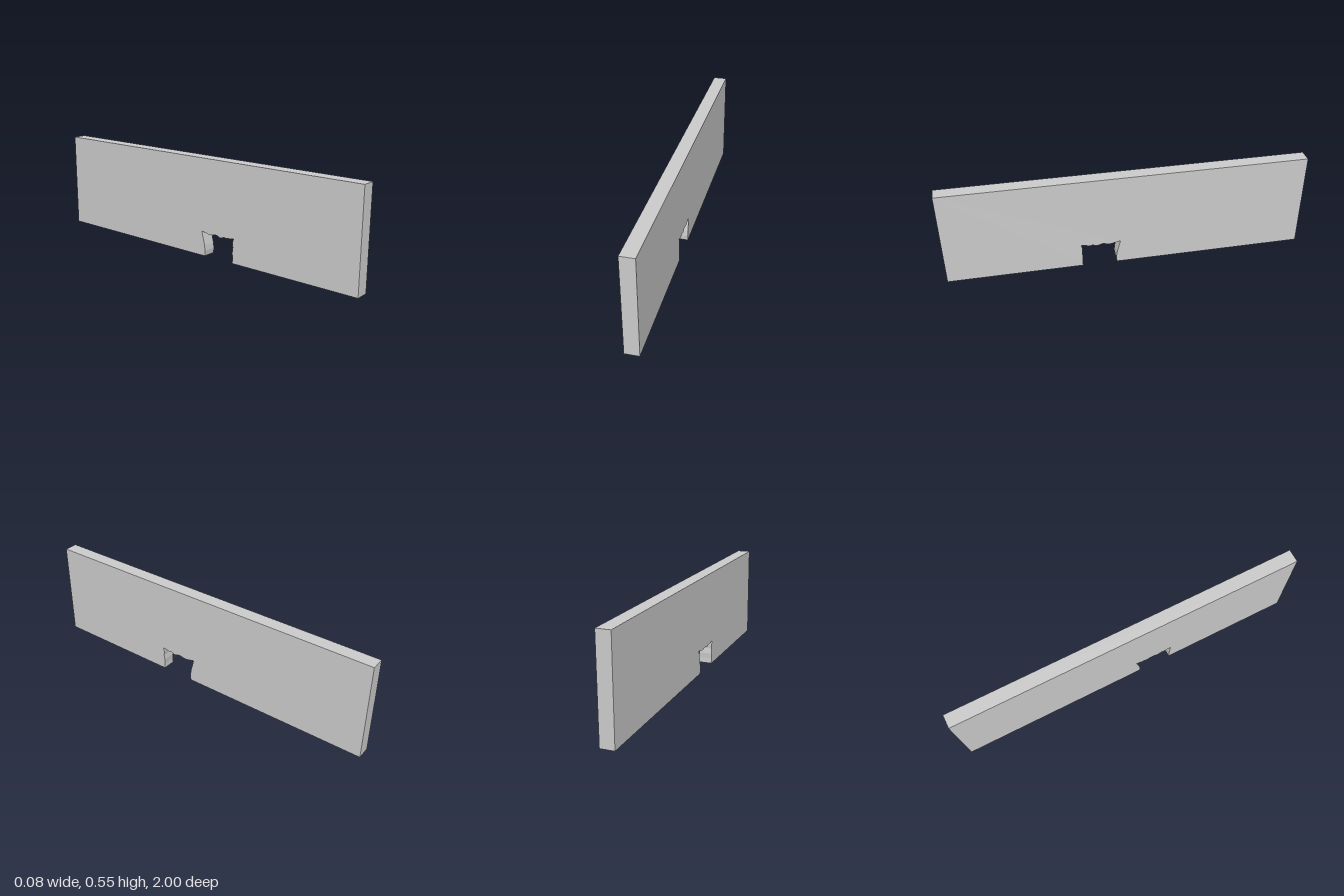
import * as THREE from 'three';

const LENGTH = 2, HEIGHT = 0.545, THICKNESS = 0.076;

// Ragged mouse-hole outline as [z, y], from the rear foot over to the front foot
const HOLE = [
  [0.063, 0], [0.066, 0.03], [0.062, 0.062], [0.055, 0.09], [0.042, 0.14],
  [0.075, 0.132], [0.1, 0.127], [0.12, 0.13], [0.14, 0.135], [0.158, 0.131],
  [0.17, 0.125], [0.182, 0.126], [0.197, 0.134], [0.212, 0.13], [0.23, 0.133],
  [0.262, 0.139], [0.255, 0.115], [0.258, 0.09], [0.254, 0.06], [0.256, 0.03], [0.255, 0],
];

export function createModel() {
  const group = new THREE.Group();
  group.name = 'wallWithHole';

  // Side profile of the wall, with the hole cut into its lower edge
  const half = LENGTH / 2;
  const corners = [[-half, 0], ...HOLE, [half, 0], [half, HEIGHT], [-half, HEIGHT]];
  const profile = new THREE.Shape(corners.map(([z, y]) => new THREE.Vector2(z, y)));

  // Extrude through the thickness, then turn the profile to run along z
  const geometry = new THREE.ExtrudeGeometry(profile, { depth: THICKNESS, bevelEnabled: false });
  geometry.translate(0, 0, -THICKNESS / 2);
  geometry.rotateY(-Math.PI / 2);

  const wall = new THREE.Mesh(
    geometry,
    new THREE.MeshStandardMaterial({ color: 0xcccccc, flatShading: true }),
  );
  wall.name = 'wall';
  group.add(wall);
  return group;
}
